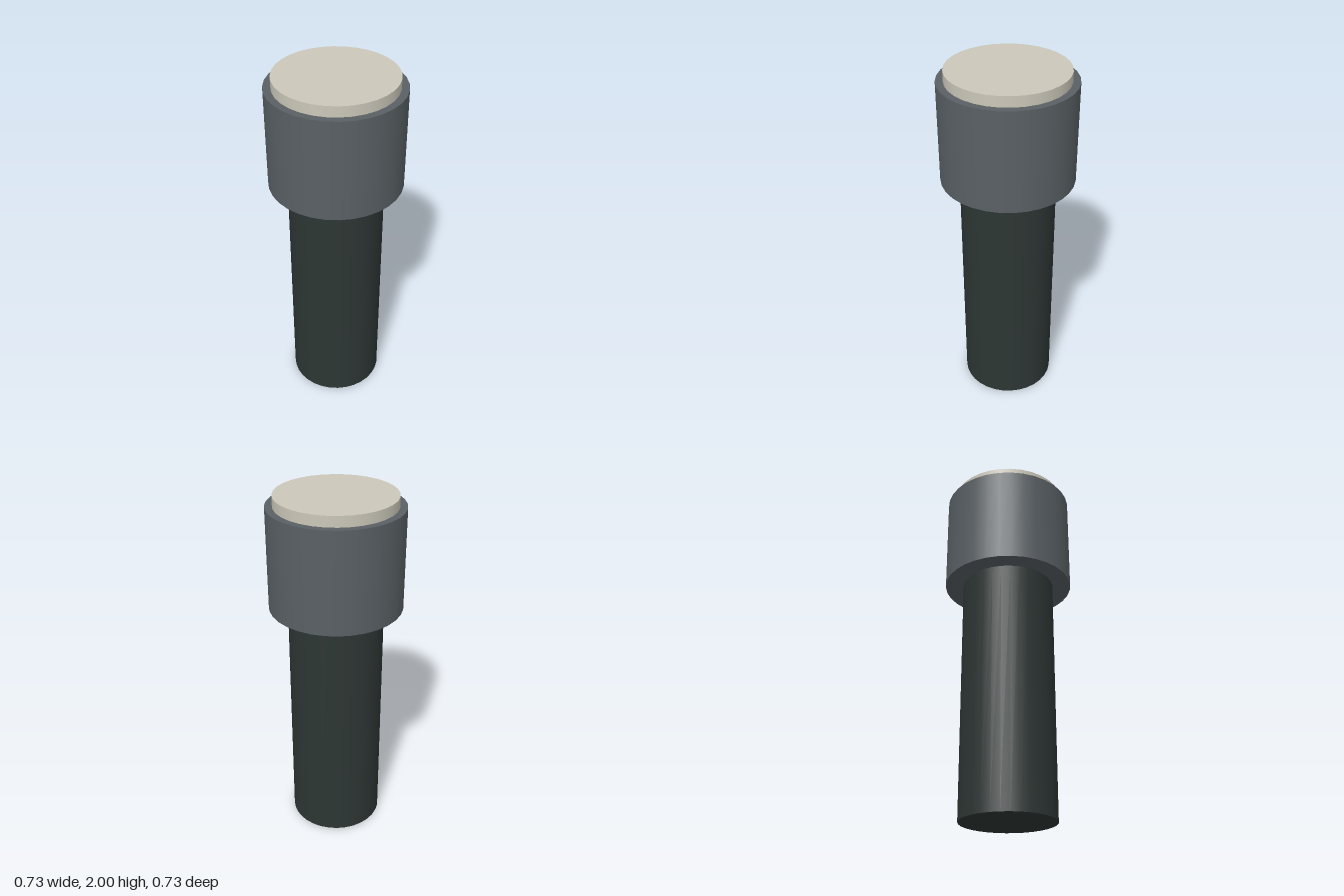
import * as THREE from 'three';

export function createModel() {
  const model = new THREE.Group();

  const flatColor = (name, color) => {
    const material = new THREE.MeshStandardMaterial({ color });
    material.name = name;
    return material;
  };

  // Upright round section between two heights
  const addSection = (name, radius, bottom, top, material) => {
    const geometry = new THREE.CylinderGeometry(radius, radius, top - bottom, 32);
    const mesh = new THREE.Mesh(geometry, material);
    mesh.name = name;
    mesh.position.y = (bottom + top) / 2;
    model.add(mesh);
  };

  // Handle, wider head and pale lens on top
  addSection('handle', 0.262, 0, 1.38, flatColor('dark green grey', 0x2d3634));
  addSection('head', 0.366, 1.38, 1.942, flatColor('slate grey', 0x596064));
  addSection('lens', 0.326, 1.942, 2, flatColor('warm off-white', 0xcbc7b9));

  return model;
}
